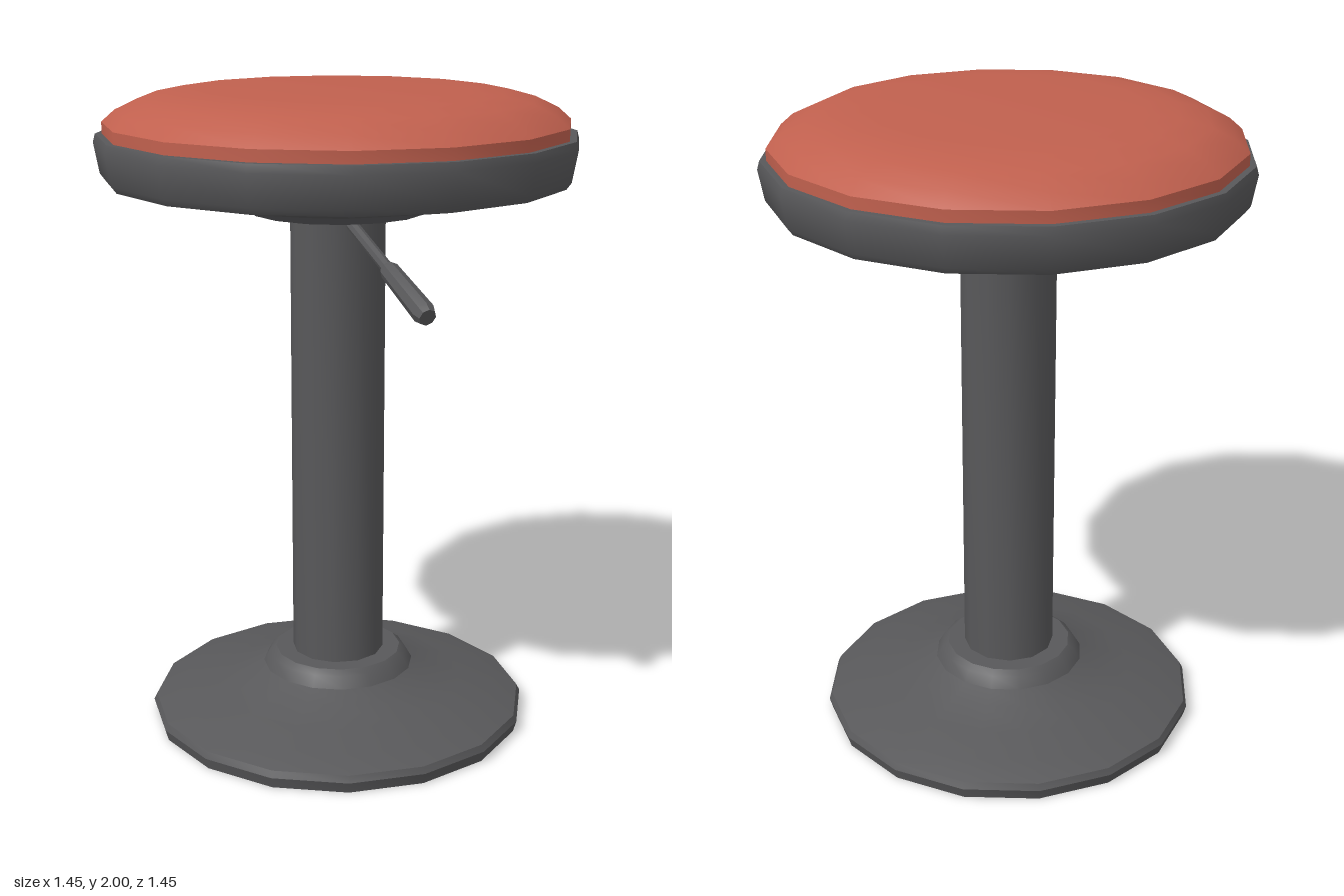
import * as THREE from 'three';
import { toCreasedNormals } from 'three/addons/utils/BufferGeometryUtils.js';

const mat = (name, color) => {
  const m = new THREE.MeshStandardMaterial({ color });
  m.name = name;
  return m;
};

export function createModel() {
  const grey = mat('dark grey', 0x58585a);
  const red = mat('red upholstery', 0xc0604e);
  const group = new THREE.Group();

  // Turned part from [radius, height] points, listed bottom to top
  const turned = (name, points, sides, material, parent = group) => {
    const lathe = new THREE.LatheGeometry(points.map(([r, y]) => new THREE.Vector2(r, y)), sides);
    const mesh = new THREE.Mesh(toCreasedNormals(lathe, 0.62), material);
    mesh.name = name;
    parent.add(mesh);
    return mesh;
  };

  // Flared foot
  turned('base', [
    [0, 0], [0.59, 0], [0.6, 0.035], [0.59, 0.055], [0.51, 0.083], [0.4, 0.108],
    [0.3, 0.138], [0.24, 0.165], [0.22, 0.2], [0.2, 0.215], [0, 0.215],
  ], 16, grey);

  // Column
  turned('post', [[0.145, 0.2], [0.145, 1.65]], 12, grey);

  // Seat pan with mounting flange underneath
  turned('seatPan', [
    [0, 1.637], [0.27, 1.637], [0.29, 1.658], [0.695, 1.732],
    [0.71, 1.752], [0.727, 1.845], [0.72, 1.87], [0, 1.87],
  ], 16, grey);

  // Padded cushion
  turned('cushion', [
    [0.7, 1.865], [0.7, 1.905], [0.66, 1.94], [0.59, 1.973], [0.5, 1.992], [0.4, 2], [0, 2],
  ], 16, red);

  // Height lever, built along its own y axis and tilted forward and down
  const lever = new THREE.Group();
  lever.name = 'heightLever';
  turned('leverRod', [[0.018, 0], [0.018, 0.38]], 8, grey, lever);
  turned('leverGrip', [
    [0, 0.345], [0.022, 0.345], [0.029, 0.357], [0.034, 0.58], [0.026, 0.603], [0, 0.603],
  ], 8, grey, lever);
  lever.position.set(-0.022, 1.65, 0.05);
  lever.quaternion.setFromUnitVectors(
    new THREE.Vector3(0, 1, 0), new THREE.Vector3(0, -0.36, 0.933).normalize());
  group.add(lever);

  return group;
}
